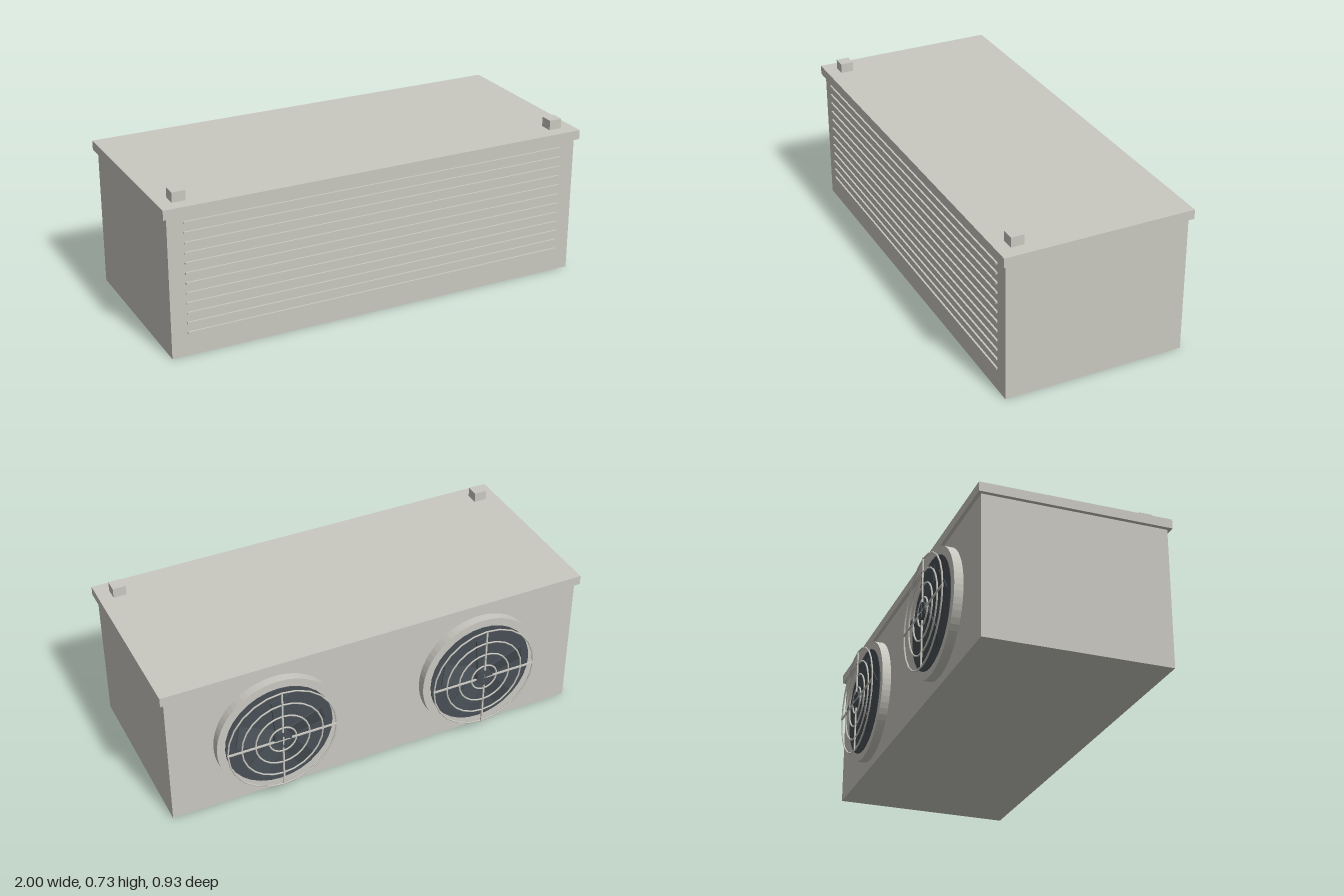
import * as THREE from 'three';

export function createModel() {
  const casingPaint = new THREE.MeshStandardMaterial({ color: 0xc9c8c0 });
  casingPaint.name = 'casing paint';
  const fanDark = new THREE.MeshStandardMaterial({ color: 0x474f55 });
  fanDark.name = 'dark fan';

  const model = new THREE.Group();
  model.name = 'coolingUnit';

  const add = (parent, name, geometry, material, x, y, z) => {
    const mesh = new THREE.Mesh(geometry, material);
    mesh.name = name;
    mesh.position.set(x, y, z);
    parent.add(mesh);
    return mesh;
  };
  const box = (w, h, d) => new THREE.BoxGeometry(w, h, d);
  // Cylinder whose axis runs along z
  const disc = (r, depth, sides) =>
    new THREE.CylinderGeometry(r, r, depth, sides).rotateX(Math.PI / 2);

  // Casing and overhanging lid
  add(model, 'casing', box(1.964, 0.64, 0.832), casingPaint, 0, 0.32, 0.036);
  add(model, 'lid', box(2, 0.043, 0.864), casingPaint, 0, 0.6615, 0.036);

  // Mounting lugs on the lid
  for (const side of [-1, 1]) {
    add(model, 'mountingLug', box(0.06, 0.045, 0.06), casingPaint, side * 0.908, 0.7055, 0.378);
  }

  // Front louvre slats
  for (let i = 0; i < 12; i++) {
    add(model, 'louvreSlat', box(1.82, 0.009, 0.008), casingPaint, 0, 0.108 + i * 0.0455, 0.456);
  }

  // Rim around each fan, open in the middle
  const rimShape = new THREE.Shape().absarc(0, 0, 0.287, 0, Math.PI * 2, false);
  rimShape.holes.push(new THREE.Path().absarc(0, 0, 0.245, 0, Math.PI * 2, true));
  const rimGeometry = new THREE.ExtrudeGeometry(rimShape, {
    depth: 0.04, bevelEnabled: false, curveSegments: 32,
  });

  // Blade: a thin plate that widens towards its tip
  const bladeShape = new THREE.Shape([
    new THREE.Vector2(-0.032, 0.03), new THREE.Vector2(0.032, 0.03),
    new THREE.Vector2(0.05, 0.208), new THREE.Vector2(-0.05, 0.208),
  ]);
  const bladeGeometry = new THREE.ExtrudeGeometry(bladeShape, { depth: 0.005, bevelEnabled: false });
  bladeGeometry.translate(0, 0, -0.0025).rotateY(0.3);

  // Two fans on the back
  for (const side of [-1, 1]) {
    const fan = new THREE.Group();
    fan.name = side > 0 ? 'leftFan' : 'rightFan';
    fan.position.set(side * 0.491, 0.327, 0);
    model.add(fan);

    add(fan, 'fanRim', rimGeometry, casingPaint, 0, 0, -0.42);
    add(fan, 'fanOpening', disc(0.25, 0.042, 32), fanDark, 0, 0, -0.402);
    add(fan, 'fanHub', disc(0.041, 0.044, 16), fanDark, 0, 0, -0.443);
    for (let i = 0; i < 5; i++) {
      const blade = add(fan, 'fanBlade', bladeGeometry, fanDark, 0, 0, -0.438);
      blade.rotation.z = (i / 5) * Math.PI * 2;
    }

    // Wire guard: concentric rings and a cross
    for (const r of [0.063, 0.126, 0.189, 0.253]) {
      add(fan, 'guardRing', new THREE.TorusGeometry(r, 0.004, 6, 24), casingPaint, 0, 0, -0.459);
    }
    add(fan, 'guardBar', box(0.514, 0.007, 0.007), casingPaint, 0, 0, -0.4615);
    add(fan, 'guardBar', box(0.007, 0.514, 0.007), casingPaint, 0, 0, -0.4615);
  }

  return model;
}
